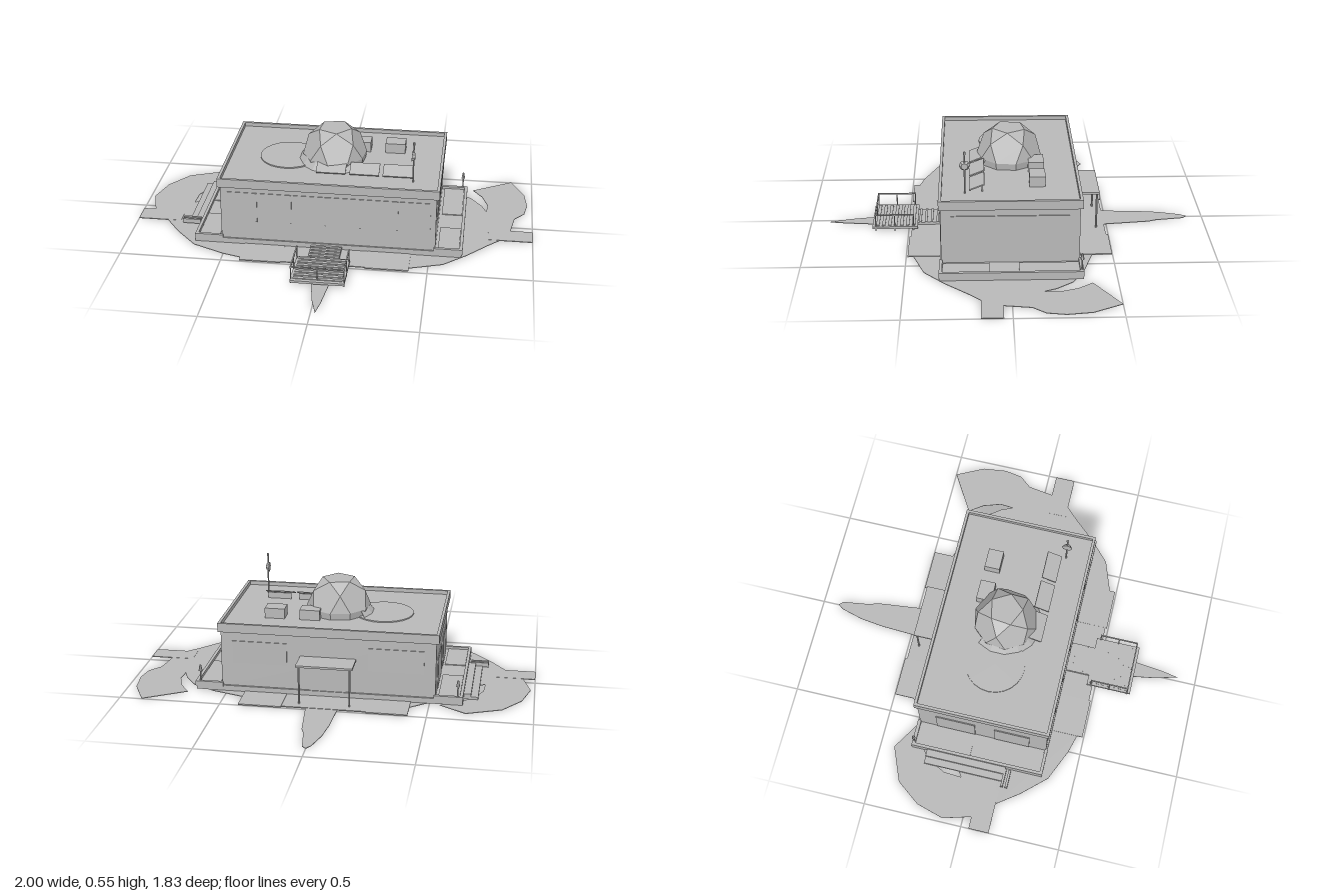
import * as THREE from 'three';
import { ConvexGeometry } from 'three/addons/geometries/ConvexGeometry.js';

export function createModel() {
  const model = new THREE.Group();
  const grey = new THREE.MeshStandardMaterial({ color: 0xb8b8b8, side: THREE.DoubleSide });
  grey.name = 'plainGrey';
  grey.flatShading = true;

  const add = (name, geometry, parent = model) => {
    const mesh = new THREE.Mesh(geometry, grey);
    mesh.name = name;
    parent.add(mesh);
    return mesh;
  };
  // Box given by its limits on each axis
  const box = (name, x0, x1, y0, y1, z0, z1, parent = model) => {
    const m = add(name, new THREE.BoxGeometry(x1 - x0, y1 - y0, z1 - z0), parent);
    m.position.set((x0 + x1) / 2, (y0 + y1) / 2, (z0 + z1) / 2);
    return m;
  };
  const post = (name, x, z, y0, y1, r, parent = model) => {
    const m = add(name, new THREE.CylinderGeometry(r, r, y1 - y0, 6), parent);
    m.position.set(x, (y0 + y1) / 2, z);
    return m;
  };
  // Flat ground piece from (x, z) outline points
  const slab = (name, points, top) => {
    const shape = new THREE.Shape(points.map(([x, z]) => new THREE.Vector2(x, z)));
    const g = new THREE.ExtrudeGeometry(shape, { depth: top, bevelEnabled: false });
    add(name, g.rotateX(Math.PI / 2)).position.y = top;
  };

  // Ground: rounded apron with two curved arms
  slab('groundApron', [
    [-0.41, -0.4], [-0.56, -0.28], [-0.72, -0.2], [-0.725, -0.08], [-0.755, -0.06],
    [-0.75, -0.15], [-0.7, -0.25], [-0.55, -0.35], [-0.68, -0.43], [-0.85, -0.36],
    [-0.94, -0.24], [-0.98, -0.1], [-0.94, 0.04], [-0.85, 0.14], [-0.77, 0.25],
    [-0.66, 0.37], [-0.5, 0.44], [-0.41, 0.465], [0.41, 0.465], [0.57, 0.41],
    [0.68, 0.31], [0.78, 0.2], [0.84, 0.14], [0.89, 0.04], [0.91, -0.09],
    [0.96, -0.15], [0.975, -0.24], [0.96, -0.36], [0.89, -0.5], [0.69, -0.38],
    [0.74, -0.31], [0.77, -0.22], [0.765, -0.15], [0.74, -0.21], [0.68, -0.29],
    [0.57, -0.35], [0.41, -0.4],
  ], 0.003);
  slab('backPath', [[-0.075, -0.45], [-0.065, -0.66], [-0.05, -0.78], [-0.02, -0.89], [0, -0.92],
    [0.02, -0.9], [0.04, -0.76], [0.055, -0.72], [0.08, -0.5], [0.08, -0.45]], 0.003);
  slab('frontPath', [[-0.05, 0.45], [-0.03, 0.68], [-0.01, 0.8], [0.02, 0.905],
    [0.035, 0.82], [0.05, 0.68], [0.06, 0.45]], 0.003);
  box('groundPad', -0.41, 0.41, 0, 0.005, -0.488, 0.485);
  for (const s of [-1, 1]) {
    const [a, b] = s < 0 ? [-0.41, -0.21] : [0.2, 0.41];
    box('cornerPad', a, b, 0, 0.006, -0.498, 0.493);
    box('sidePath', Math.min(s * 0.78, s), Math.max(s * 0.78, s), 0, 0.004, 0.04, 0.142);
  }

  // Plinth and the curbed terraces at each end
  box('plinth', -0.66, 0.655, 0.003, 0.03, -0.34, 0.335);
  for (const s of [-1, 1]) {
    const terrace = new THREE.Group();
    terrace.name = 'terrace';
    model.add(terrace);
    const span = (name, a, b, y0, y1, z0, z1) =>
      box(name, Math.min(s * a, s * b), Math.max(s * a, s * b), y0, y1, z0, z1, terrace);
    span('outerCurb', 0.645, 0.66, 0.02, 0.045, -0.34, 0.335);
    span('backCurb', 0.52, 0.66, 0.02, 0.045, -0.342, -0.325);
    span('frontCurb', 0.52, 0.66, 0.02, 0.045, 0.322, 0.337);
    span('rearPaving', 0.54, 0.643, 0.028, 0.034, -0.325, -0.04);
    span('frontPaving', 0.54, 0.643, 0.028, 0.034, 0.1, 0.32);
    // Corner lamp
    post('lampPost', s * 0.635, -0.333, 0.04, 0.125, 0.004, terrace);
    const lamp = add('lampHead', new THREE.CylinderGeometry(0.005, 0.01, 0.03, 6), terrace);
    lamp.position.set(s * 0.635, 0.112, -0.333);
  }

  // Side steps beside the right terrace
  box('sideStepUpper', -0.695, -0.66, 0.003, 0.03, -0.26, 0.15);
  box('sideStepLower', -0.73, -0.695, 0.003, 0.016, -0.26, 0.15);
  for (const z of [0.145, 0.168]) box('sideRamp', -0.76, -0.67, 0.012, 0.035, z, z + 0.012);

  // Building walls, roof and parapet
  box('walls', -0.527, 0.527, 0.02, 0.335, -0.33, 0.328);
  for (const [z0, z1] of [[-0.342, -0.328], [0.323, 0.337]]) box('parapet', -0.54, 0.54, 0.31, 0.355, z0, z1);
  for (const s of [-1, 1]) box('parapet', s * 0.533 - 0.007, s * 0.533 + 0.007, 0.31, 0.355, -0.33, 0.325);

  // Window bands, mullions and doors
  box('frontWindowBand', -0.5, 0.5, 0.13, 0.285, 0.328, 0.331);
  for (const x of [-0.35, -0.18, -0.01, 0.16, 0.34]) box('mullion', x - 0.004, x + 0.004, 0.13, 0.285, 0.329, 0.335);
  box('sideWindow', 0.526, 0.532, 0.17, 0.275, -0.28, 0.28);
  for (const [z0, z1] of [[-0.24, -0.04], [0.06, 0.24]]) box('sideDoor', -0.532, -0.526, 0.04, 0.2, z0, z1);
  for (const [x0, x1] of [[-0.47, -0.2], [0.2, 0.47]]) box('backWindow', x0, x1, 0.15, 0.265, -0.334, -0.329);
  box('backDoor', -0.09, 0.09, 0.03, 0.18, -0.335, -0.329);

  // Back canopy
  box('canopy', -0.14, 0.135, 0.195, 0.205, -0.457, -0.33);
  for (const x of [-0.125, 0.12]) post('canopyPost', x, -0.445, 0, 0.197, 0.005);

  // Front deck, bridge and slats
  box('bridge', -0.08, 0.072, 0.008, 0.02, 0.33, 0.46);
  for (let i = 0; i < 4; i++) box('bridgeSlat', -0.08, 0.072, 0.02, 0.024, 0.35 + i * 0.029, 0.362 + i * 0.029);
  box('deck', -0.132, 0.126, 0.012, 0.024, 0.455, 0.682);
  for (let i = 0; i < 7; i++) box('deckSlat', -0.12, 0.114, 0.024, 0.028, 0.468 + i * 0.03, 0.484 + i * 0.03);
  // Deck railing on three sides
  for (const x of [-0.129, 0.123]) {
    for (const z of [0.475, 0.57, 0.665]) post('railPost', x, z, 0, 0.09, 0.003);
    box('sideRail', x - 0.003, x + 0.003, 0.085, 0.091, 0.472, 0.668);
  }
  post('railPost', -0.003, 0.665, 0.02, 0.09, 0.003);
  box('frontRail', -0.129, 0.123, 0.085, 0.091, 0.662, 0.668);

  // Round roof pad
  const pad = add('roofPad', new THREE.CylinderGeometry(0.148, 0.148, 0.006, 24));
  pad.position.set(-0.235, 0.338, -0.005);

  // Faceted dome: pentagons and triangles, from rings of points
  const R = 0.16, points = [];
  const ring = (n, r, y, turn) => {
    for (let i = 0; i < n; i++) {
      const a = turn + (i / n) * Math.PI * 2;
      points.push(new THREE.Vector3(Math.sin(a) * r, y, Math.cos(a) * r));
    }
  };
  ring(5, R * 0.526, R * 0.851, 0.2);
  ring(5, R * 0.851, R * 0.526, 0.2 + Math.PI / 5);
  ring(10, R, 0, 0.2 + Math.PI / 10);
  ring(10, R * 0.97, -0.034, 0.2 + Math.PI / 10);
  add('dome', new ConvexGeometry(points)).position.set(-0.005, 0.37, -0.007);
  // Sloped collar around the front and right of the dome
  const collar = add('domeCollar', new THREE.CylinderGeometry(0.145, 0.182, 0.045, 7, 1, true, -2.2, 2.9));
  collar.position.set(-0.005, 0.358, -0.007);

  // Roof units and tilted panels
  for (const x of [0.115, 0.29]) box('roofUnit', x - 0.05, x + 0.05, 0.33, 0.386, -0.175, -0.098);
  for (const x of [-0.003, 0.162, 0.325]) {
    const panel = add('roofPanel', new THREE.BoxGeometry(0.145, 0.006, 0.078));
    panel.position.set(x, 0.362, 0.155);
    panel.rotation.x = 0.38;
    box('panelStand', x - 0.06, x + 0.06, 0.33, 0.366, 0.126, 0.132);
  }

  // Mast with a small side-facing dish
  post('mast', 0.403, 0.212, 0.33, 0.545, 0.004);
  const dish = add('mastDish', new THREE.CylinderGeometry(0.026, 0.016, 0.016, 8));
  dish.rotation.z = Math.PI / 2;
  dish.position.set(0.403, 0.475, 0.212);
  post('mastTip', 0.403, 0.212, 0.533, 0.547, 0.006);

  return model;
}
